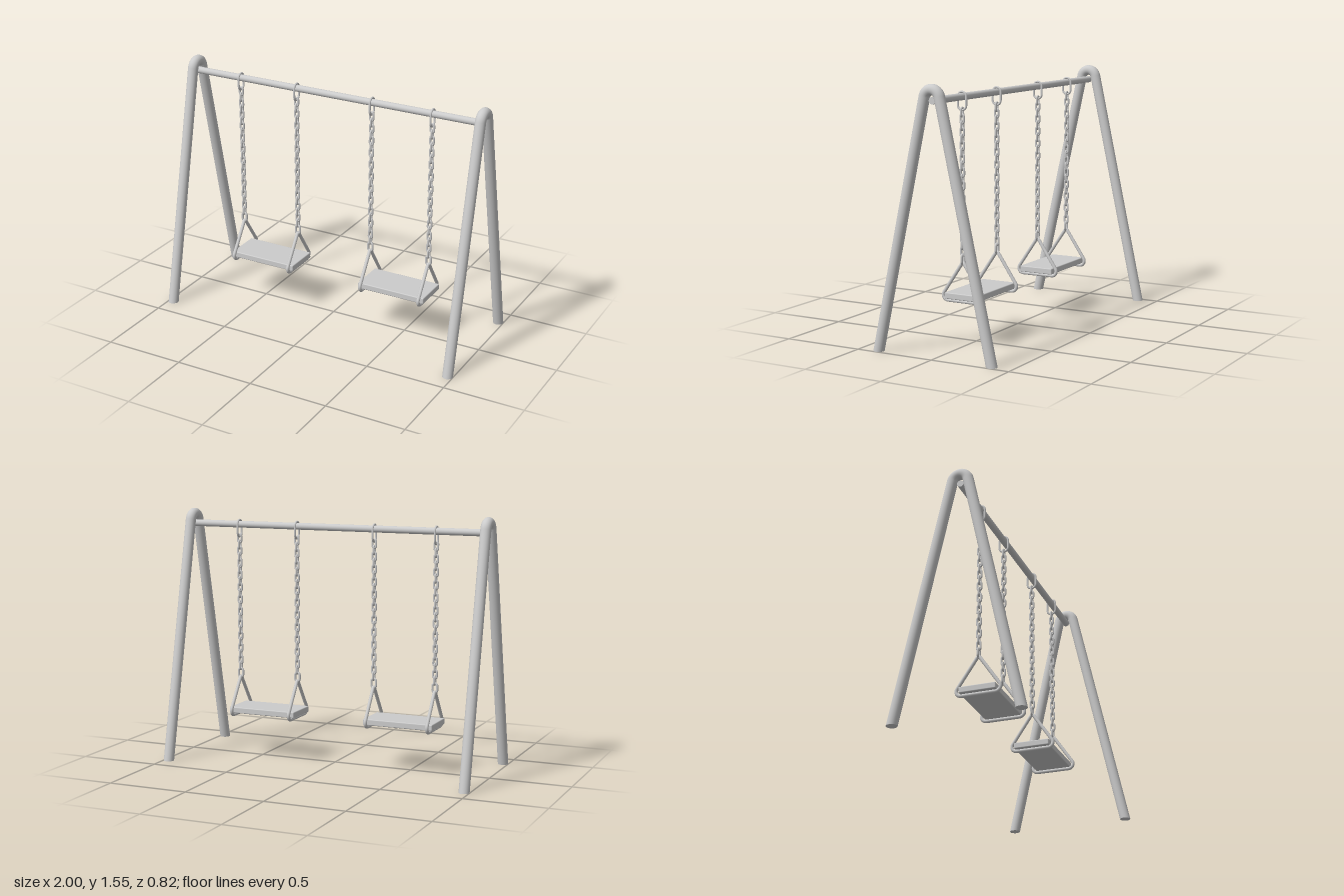
import * as THREE from 'three';
import { RoundedBoxGeometry } from 'three/addons/geometries/RoundedBoxGeometry.js';

const steel = new THREE.MeshStandardMaterial({ color: 0xcccccc });

// Path in the z-y plane that puts one tube ring on every given point
class RingPath extends THREE.Curve {
  constructor(points, closed) {
    super();
    this.points = points;
    this.closed = closed;
    this.count = closed ? points.length : points.length - 1;
  }
  at(i) {
    const n = this.points.length;
    const p = this.closed ? this.points[(i + n) % n] : this.points[Math.min(Math.max(i, 0), n - 1)];
    return new THREE.Vector3(0, p.y, p.x);
  }
  getPointAt(u) {
    return this.at(Math.round(u * this.count));
  }
  getTangentAt(u) {
    const i = Math.round(u * this.count);
    const before = this.at(i).sub(this.at(i - 1)).normalize();
    const after = this.at(i + 1).sub(this.at(i)).normalize();
    return before.add(after).normalize();
  }
}

// Points of an arc that rounds corner p between its neighbours
function fillet(prev, p, next, radius, steps) {
  const d1 = prev.clone().sub(p).normalize();
  const d2 = next.clone().sub(p).normalize();
  const half = Math.acos(d1.dot(d2)) / 2;
  const centre = d1.clone().add(d2).normalize().multiplyScalar(radius / Math.sin(half)).add(p);
  const reach = radius / Math.tan(half);
  const start = d1.multiplyScalar(reach).add(p).sub(centre).angle();
  let sweep = d2.multiplyScalar(reach).add(p).sub(centre).angle() - start;
  if (sweep > Math.PI) sweep -= 2 * Math.PI;
  if (sweep < -Math.PI) sweep += 2 * Math.PI;
  return Array.from({ length: steps + 1 }, (_, i) => {
    const a = start + (sweep * i) / steps;
    return new THREE.Vector2(centre.x + radius * Math.cos(a), centre.y + radius * Math.sin(a));
  });
}

// Closed bent rod; corners are [z, y, bend radius]
function rodLoop(corners, radius, steps, sides) {
  const c = corners.map(([z, y]) => new THREE.Vector2(z, y));
  const n = c.length;
  const points = c.flatMap((p, i) => fillet(c[(i + n - 1) % n], p, c[(i + 1) % n], corners[i][2], steps));
  const path = new RingPath(points, true);
  return new THREE.TubeGeometry(path, path.count, radius, sides, true);
}

// Oval ring given by its outer half width and half height
function ovalRing(halfWidth, halfHeight, wire) {
  const w = halfWidth - wire, h = halfHeight - wire, r = w * 0.97;
  return rodLoop([[w, h, r], [-w, h, r], [-w, -h, r], [w, -h, r]], wire, 5, 8);
}

function add(parent, name, geometry, x = 0, y = 0, z = 0) {
  const mesh = new THREE.Mesh(geometry, steel);
  mesh.name = name;
  mesh.position.set(x, y, z);
  parent.add(mesh);
  return mesh;
}

const FRAME_X = 0.968, FRAME_R = 0.032, FOOT_Z = 0.375, APEX_Y = 1.699;

// Bent A-frame tube, with its feet cut level with the ground
function frameGeometry() {
  const foot = new THREE.Vector2(FOOT_Z, 0), top = new THREE.Vector2(0, APEX_Y);
  const otherFoot = new THREE.Vector2(-FOOT_Z, 0);
  const path = new RingPath([foot, ...fillet(foot, top, otherFoot, 0.05, 16), otherFoot], false);
  const geometry = new THREE.TubeGeometry(path, path.count, FRAME_R, 24, false);
  const pos = geometry.attributes.position;
  for (let i = 0; i < pos.count; i++) {
    const y = pos.getY(i), z = pos.getZ(i);
    if (y > 0.1) continue;
    pos.setZ(i, z + Math.sign(z) * y * FOOT_Z / APEX_Y);
    pos.setY(i, 0);
  }
  return geometry;
}

export function createModel() {
  const model = new THREE.Group();
  model.name = 'swingSet';

  // End frames
  const frame = frameGeometry();
  const footCap = new THREE.CircleGeometry(FRAME_R, 24)
    .scale(1, Math.hypot(1, FOOT_Z / APEX_Y), 1).rotateX(Math.PI / 2);
  for (const side of [1, -1]) {
    const end = new THREE.Group();
    end.name = side > 0 ? 'leftFrame' : 'rightFrame';
    end.position.x = side * FRAME_X;
    add(end, 'frameTube', frame);
    for (const z of [FOOT_Z, -FOOT_Z]) add(end, 'footCap', footCap, 0, 0, z);
    model.add(end);
  }

  // Crossbar
  add(model, 'crossbar', new THREE.CylinderGeometry(0.021, 0.021, 2 * FRAME_X, 24).rotateZ(Math.PI / 2), 0, 1.456);

  // Shared swing parts
  const hanger = ovalRing(0.034, 0.0585, 0.0065);
  const link = ovalRing(0.018, 0.032, 0.0065);
  const shackle = ovalRing(0.0225, 0.0345, 0.0075);
  const stirrup = rodLoop([[0, 0.502, 0.012], [-0.16, 0.266, 0.03], [0.16, 0.266, 0.03]], 0.0105, 8, 12);
  const seat = new RoundedBoxGeometry(0.444, 0.038, 0.225, 2, 0.006);
  const LINKS = 22, PITCH = 0.0383;

  for (const side of [1, -1]) {
    const swing = new THREE.Group();
    swing.name = side > 0 ? 'leftSwing' : 'rightSwing';
    swing.position.x = side * 0.453;
    add(swing, 'seat', seat, 0, 0.296);

    // Hanger, chain, shackle and stirrup on each end of the seat
    for (const x of [0.197, -0.197]) {
      const chain = new THREE.Group();
      chain.name = 'suspension';
      chain.position.x = x;
      add(chain, 'hanger', hanger, 0, 1.4315);
      for (let i = 0; i < LINKS; i++) {
        const mesh = add(chain, 'chainLink', link, 0, 1.368 - i * PITCH);
        if (i % 2 === 0) mesh.rotation.y = Math.PI / 2;
      }
      add(chain, 'shackle', shackle, 0, 0.518).rotation.y = Math.PI / 2;
      add(chain, 'stirrup', stirrup);
      swing.add(chain);
    }
    model.add(swing);
  }
  return model;
}
